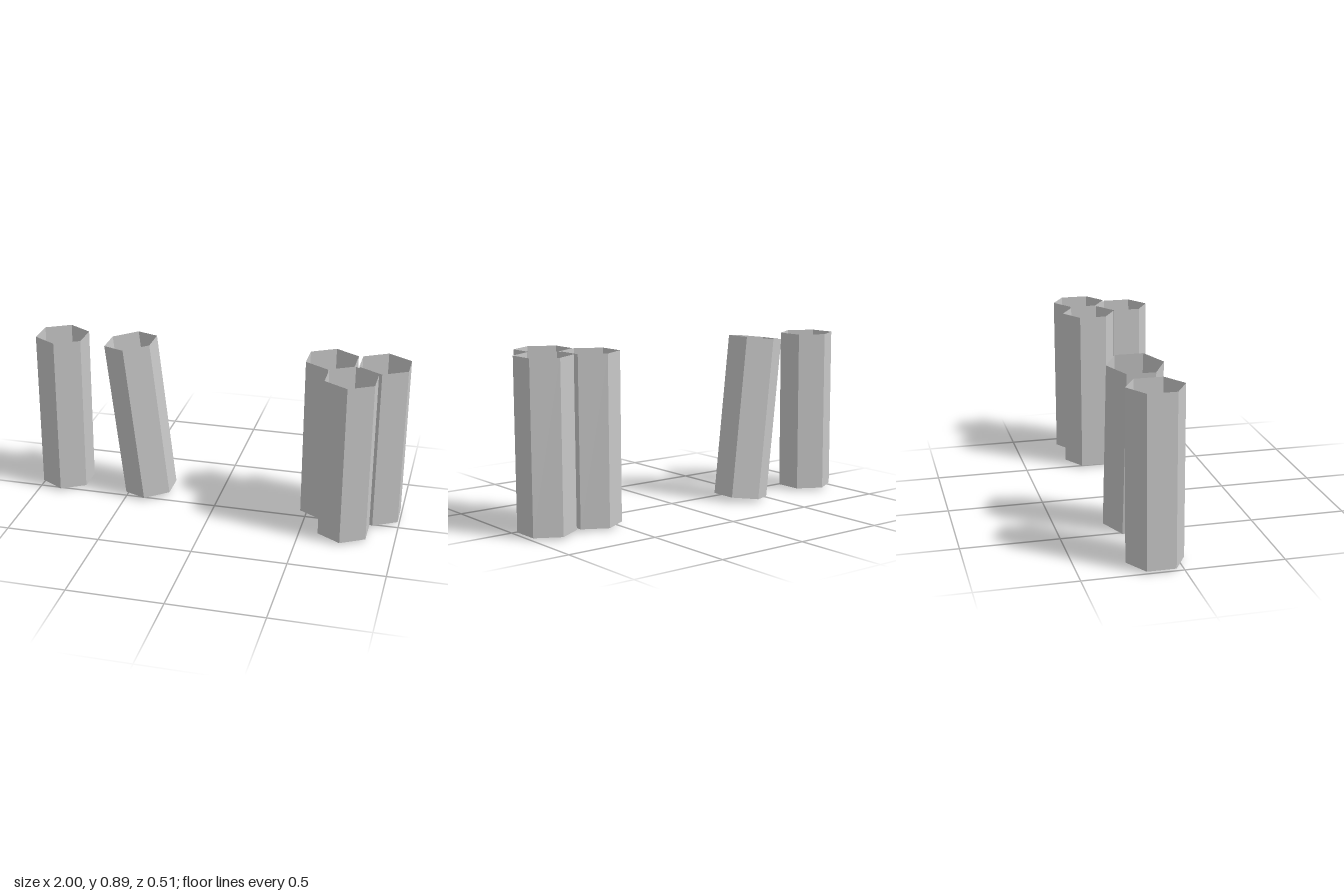
import * as THREE from 'three';

const RADIUS = 0.145, HEIGHT = 0.866;

export function createModel() {
  const model = new THREE.Group();
  model.name = 'hexagonalTubes';

  const grey = new THREE.MeshStandardMaterial({ color: 0xc8c8c8, flatShading: true, side: THREE.DoubleSide });
  grey.name = 'plain grey';

  // Thin six-sided wall, open at the top
  const wallGeometry = new THREE.CylinderGeometry(RADIUS, RADIUS, HEIGHT, 6, 1, true);

  // Hexagonal floor closing the bottom, corners matched to the wall
  const floorGeometry = new THREE.CircleGeometry(RADIUS, 6, Math.PI / 2);
  floorGeometry.rotateX(Math.PI / 2).translate(0, -HEIGHT / 2, 0);

  function addTube(name, x, z, tiltDegrees) {
    const tube = new THREE.Group();
    tube.name = name;
    const wall = new THREE.Mesh(wallGeometry, grey);
    wall.name = 'wall';
    const floor = new THREE.Mesh(floorGeometry, grey);
    floor.name = 'floor';
    tube.add(wall, floor);
    tube.position.set(x, 0.447, z);
    tube.rotation.z = THREE.MathUtils.degToRad(tiltDegrees);
    model.add(tube);
  }

  // Upright tube and leaning tube on one side
  addTube('uprightTube', -0.873, -0.113, -0.3);
  addTube('leaningTube', -0.439, -0.113, 6.4);

  // Cluster of three on the other side
  addTube('clusterBackRightTube', 0.595, -0.113, -0.3);
  addTube('clusterBackLeftTube', 0.869, -0.113, -0.3);
  addTube('clusterFrontTube', 0.728, 0.109, -0.3);

  return model;
}
